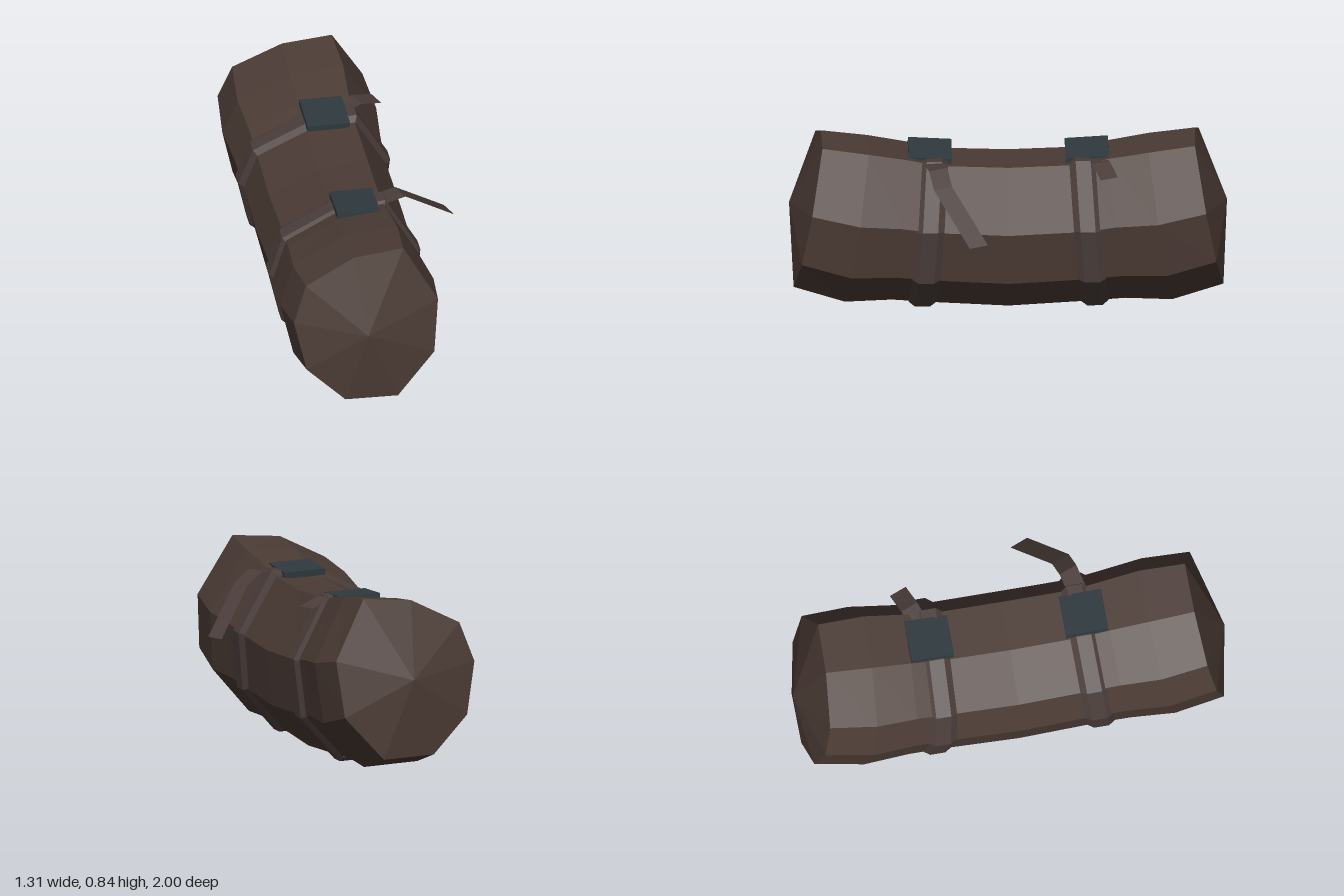
import * as THREE from 'three';

const material = (color) => new THREE.MeshStandardMaterial({ color, flatShading: true, side: THREE.DoubleSide });
const cloth = material(0x4b3b35);
const leather = material(0x4a3d3a);
const metal = material(0x2f3a3e);

// Lopsided nine-sided cross-section of the roll: [x, y]
const section = [
  [-0.28, 0.71], [-0.05, 0.825], [0.183, 0.845], [0.336, 0.57], [0.31, 0.31],
  [0.132, 0.11], [-0.115, 0.12], [-0.29, 0.29], [-0.342, 0.53],
];
const CX = -0.01, CY = 0.4775;

// One ring at z: scaled, dropped by the sag and leaning with the bend
function ring(z, drop, scale, lean) {
  return section.map(([x, y]) => {
    const dy = (y - CY) * scale;
    return new THREE.Vector3(CX + (x - CX) * scale, CY + dy - drop, z - lean * dy);
  });
}

// Faceted skin through a list of rings (ordered by increasing z)
function loft(rings, closed = true) {
  const pos = [];
  const tri = (a, b, c) => {
    const area = b.clone().sub(a).cross(c.clone().sub(a)).length();
    if (area > 1e-7) for (const p of [a, b, c]) pos.push(p.x, p.y, p.z);
  };
  for (let i = 0; i < rings.length - 1; i++) {
    const n = rings[i].length;
    for (let j = 0; j < (closed ? n : n - 1); j++) {
      const k = (j + 1) % n;
      tri(rings[i][j], rings[i + 1][j], rings[i][k]);
      tri(rings[i + 1][j], rings[i + 1][k], rings[i][k]);
    }
  }
  const g = new THREE.BufferGeometry();
  g.setAttribute('position', new THREE.Float32BufferAttribute(pos, 3));
  g.computeVertexNormals();
  return g;
}

function add(parent, name, geometry, mat) {
  const mesh = new THREE.Mesh(geometry, mat);
  mesh.name = name;
  parent.add(mesh);
  return mesh;
}

// Flat strip along a centre line, with a fixed half width vector
function strip(points, hx, hz) {
  return loft(points.map(([x, y, z]) => [
    new THREE.Vector3(x - hx, y, z - hz),
    new THREE.Vector3(x + hx, y, z + hz),
  ]), false);
}

export function createModel() {
  const model = new THREE.Group();
  model.name = 'bedroll';
  const roll = new THREE.Group();
  roll.name = 'rolledBlanket';
  roll.rotation.y = -0.384;
  model.add(roll);

  // Sagging blanket: [z, drop, scale, lean], mirrored about the middle
  const half = [
    [0.36, 0.088, 0.985, 0.07],
    [0.5, 0.065, 1.01, 0.1],
    [0.7, 0.05, 1.065, 0.14],
    [0.925, 0, 1, 0.18],
    [1.01, 0, 0, 0],
  ];
  const stations = [
    ...half.map(([z, d, s, l]) => [-z, d, s, -l]).reverse(),
    [0, 0.105, 1, 0],
    ...half,
  ];
  add(roll, 'blanket', loft(stations.map((s) => ring(...s))), cloth);

  for (const side of [-1, 1]) {
    const label = side > 0 ? 'front' : 'back';

    // Strap around the roll, with bevelled edges
    const band = [[-0.065, 0.99], [-0.035, 1.05], [0.035, 1.05], [0.065, 0.99]];
    add(roll, label + 'Strap', loft(band.map(([dz, s]) =>
      ring(side * 0.37 + dz, 0.085, s, side * 0.07))), leather);

    // Square buckle on top
    const buckle = add(roll, label + 'Buckle', new THREE.BoxGeometry(0.2, 0.03, 0.2), metal);
    buckle.position.set(0.052, 0.765, side * 0.362);
    buckle.rotation.set(side * -0.06, 0, -0.03);
  }

  // Loose strap ends
  add(roll, 'frontStrapTail', strip([
    [0.13, 0.765, 0.362], [0.272, 0.778, 0.327], [0.35, 0.72, 0.306], [0.538, 0.51, 0.144],
  ], 0.017, 0.042), leather);
  add(roll, 'backStrapTail', strip([
    [0.12, 0.765, -0.39], [0.217, 0.78, -0.425], [0.315, 0.745, -0.462],
  ], 0.016, 0.04), leather);

  return model;
}
